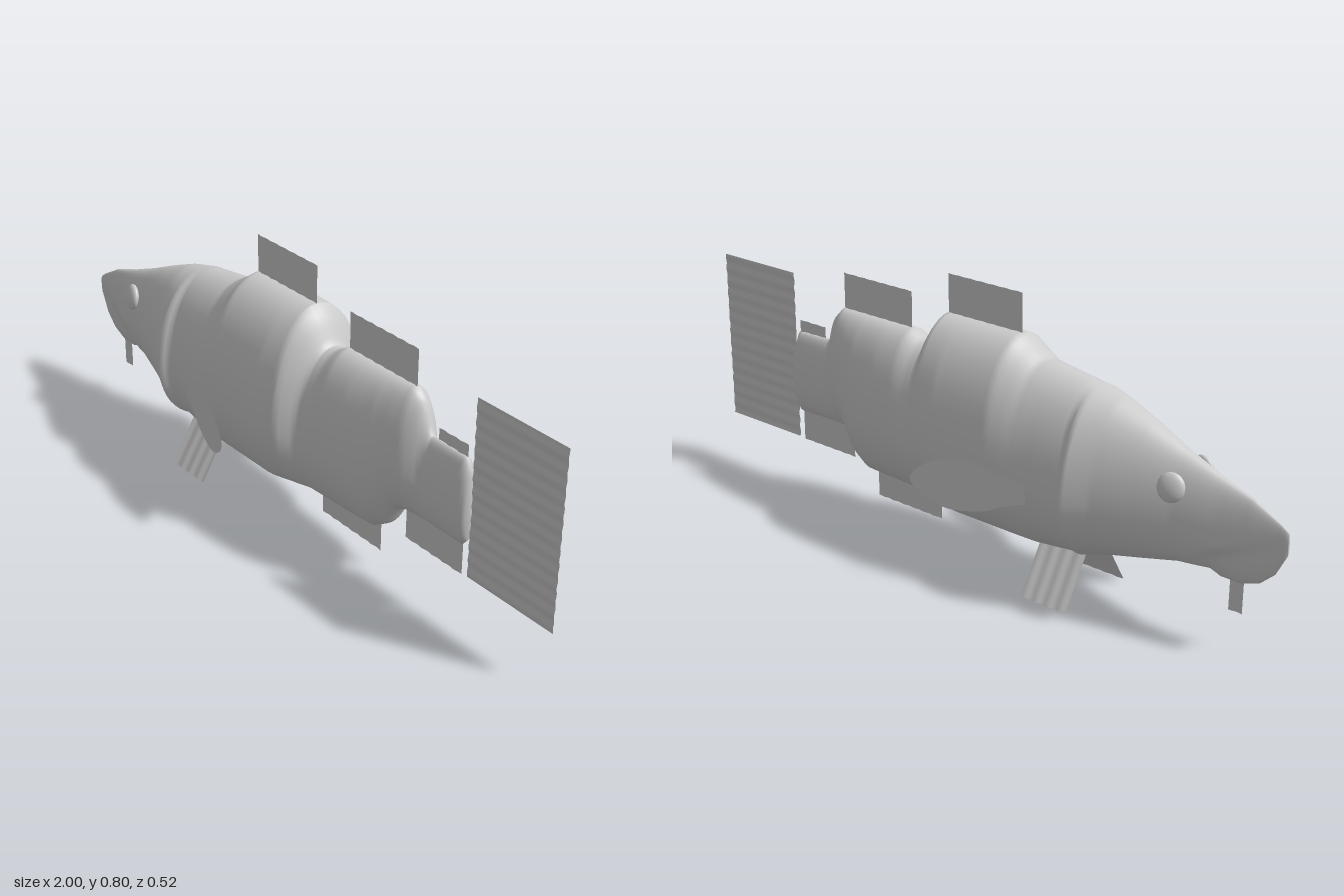
import * as THREE from 'three';

const scaleGrey = new THREE.MeshStandardMaterial({ color: 0xcccccc });
scaleGrey.name = 'scaleGrey';
const finGrey = new THREE.MeshStandardMaterial({ color: 0xcccccc, side: THREE.DoubleSide });
finGrey.name = 'finGrey';

// Body outlines along x: back line, belly line and half width
const BACK = [[-1, .37], [-.98, .385], [-.9, .43], [-.8, .465], [-.7, .505], [-.6, .55], [-.5, .59], [-.4, .615],
  [-.25, .637], [-.2, .668], [-.17, .69], [.09, .69], [.12, .65], [.15, .59], [.18, .592], [.22, .615], [.49, .615],
  [.52, .585], [.55, .503], [.68, .5], [.7, .45]];
const BELLY = [[-1, .31], [-.97, .25], [-.93, .213], [-.88, .195], [-.82, .195], [-.79, .208], [-.7, .2], [-.6, .177],
  [-.5, .155], [-.43, .135], [-.28, .12], [0, .12], [.1, .14], [.37, .144], [.41, .17], [.45, .235], [.48, .25],
  [.68, .246], [.7, .27]];
const WIDTH = [[-1, .005], [-.9, .026], [-.8, .046], [-.7, .07], [-.6, .102], [-.5, .136], [-.43, .168], [-.41, .146],
  [-.3, .157], [-.18, .172], [.02, .17], [.1, .157], [.14, .118], [.18, .116], [.3, .111], [.4, .096], [.5, .062],
  [.54, .036], [.68, .03], [.7, .02]];

function sample(line, x) {
  let i = 1;
  while (i < line.length - 1 && x > line[i][0]) i++;
  const [x0, v0] = line[i - 1], [x1, v1] = line[i];
  return THREE.MathUtils.lerp(v0, v1, THREE.MathUtils.clamp((x - x0) / (x1 - x0), 0, 1));
}

// Egg-shaped rings lofted from nose to tail root
function bodyGeometry() {
  const rings = 170, n = 48, pos = [], index = [];
  for (let i = 0; i <= rings; i++) {
    const x = -1 + i * 0.01;
    const top = sample(BACK, x), low = sample(BELLY, x), w = sample(WIDTH, x);
    const mid = low + (top - low) * 0.41;
    for (let j = 0; j < n; j++) {
      const a = j / n * Math.PI * 2, c = Math.cos(a);
      const y = mid + c * (c > 0 ? top - mid : mid - low);
      // lower jaw is tucked in below the lip line
      const lip = 0.355 - (x + 1) * 0.42;
      const fade = 1 - THREE.MathUtils.smoothstep(x, -0.82, -0.74);
      const tuck = 0.28 * fade * THREE.MathUtils.smoothstep(lip - y, -0.01, 0.025);
      pos.push(x, y, w * Math.sin(a) * (1 - tuck));
    }
  }
  for (let i = 0; i < rings; i++) {
    for (let j = 0; j < n; j++) {
      const a = i * n + j, b = i * n + (j + 1) % n;
      index.push(a, b, a + n, b, b + n, a + n);
    }
  }
  // end caps
  const nose = pos.length / 3;
  pos.push(-1, 0.34, 0, 0.703, 0.35, 0);
  for (let j = 0; j < n; j++) {
    const k = (j + 1) % n;
    index.push(nose, k, j, nose + 1, rings * n + j, rings * n + k);
  }
  const g = new THREE.BufferGeometry();
  g.setAttribute('position', new THREE.Float32BufferAttribute(pos, 3));
  g.setIndex(index);
  g.computeVertexNormals();
  return g;
}

// Upright rectangular fin with fine ripples along one axis
function rippledFin(x0, x1, y0, y1, axis = 'x') {
  const along = axis === 'x';
  const steps = Math.ceil((along ? x1 - x0 : y1 - y0) / 0.006);
  const g = new THREE.PlaneGeometry(x1 - x0, y1 - y0, along ? steps : 1, along ? 1 : steps);
  g.translate((x0 + x1) / 2, (y0 + y1) / 2, 0);
  const p = g.attributes.position;
  for (let i = 0; i < p.count; i++) {
    const t = along ? p.getX(i) : p.getY(i);
    p.setZ(i, 0.0013 * Math.sin(t * 2 * Math.PI / 0.04));
  }
  g.computeVertexNormals();
  return g;
}

// Leaf-shaped side fin, swept outwards towards the rear
function pectoralGeometry(side) {
  const outline = new THREE.Shape();
  outline.moveTo(-0.31, 0.345);
  outline.lineTo(-0.29, 0.347);
  outline.splineThru([[-.24, .36], [-.18, .382], [-.12, .387], [-.05, .365], [0, .32], [-.01, .285], [-.06, .25],
    [-.12, .238], [-.2, .25], [-.25, .272], [-.31, .29]].map(([x, y]) => new THREE.Vector2(x, y)));
  const g = new THREE.ShapeGeometry(outline, 4);
  const p = g.attributes.position;
  for (let i = 0; i < p.count; i++) p.setZ(i, side * (0.165 + (p.getX(i) + 0.28) * 0.33));
  g.computeVertexNormals();
  return g;
}

// Belly fin, splayed outwards as it goes down
function pelvicGeometry(side) {
  const g = rippledFin(-0.43, -0.28, 0, 0.15);
  const p = g.attributes.position;
  for (let i = 0; i < p.count; i++) {
    p.setZ(i, p.getZ(i) + side * (0.13 - p.getY(i) * 0.6));
  }
  g.computeVertexNormals();
  return g;
}

export function createModel() {
  const fish = new THREE.Group();
  fish.name = 'fish';
  const add = (name, geometry, material) => {
    const mesh = new THREE.Mesh(geometry, material);
    mesh.name = name;
    fish.add(mesh);
    return mesh;
  };

  add('body', bodyGeometry(), scaleGrey);

  // fins on the centre line
  add('frontDorsalFin', rippledFin(-0.17, 0.09, 0.68, 0.8), finGrey);
  add('rearDorsalFin', rippledFin(0.225, 0.49, 0.605, 0.72), finGrey);
  add('smallDorsalFin', rippledFin(0.575, 0.68, 0.49, 0.535), finGrey);
  add('analFin', rippledFin(0.12, 0.37, 0.057, 0.155), finGrey);
  add('rearAnalFin', rippledFin(0.465, 0.68, 0.152, 0.26), finGrey);
  add('tailFin', rippledFin(0.7, 1, 0.155, 0.677, 'y'), finGrey);
  add('chinBarbel', rippledFin(-0.885, -0.845, 0.11, 0.21), finGrey);

  // paired parts
  for (const [label, side] of [['left', 1], ['right', -1]]) {
    add(label + 'PectoralFin', pectoralGeometry(side), finGrey);
    add(label + 'PelvicFin', pelvicGeometry(side), finGrey);
    const eye = add(label + 'Eye', new THREE.SphereGeometry(1, 24, 16), scaleGrey);
    eye.scale.set(0.037, 0.039, 0.015);
    eye.position.set(-0.705, 0.43, side * 0.075);
    eye.rotation.set(-side * 0.2, -side * 0.25, 0);
  }
  return fish;
}
